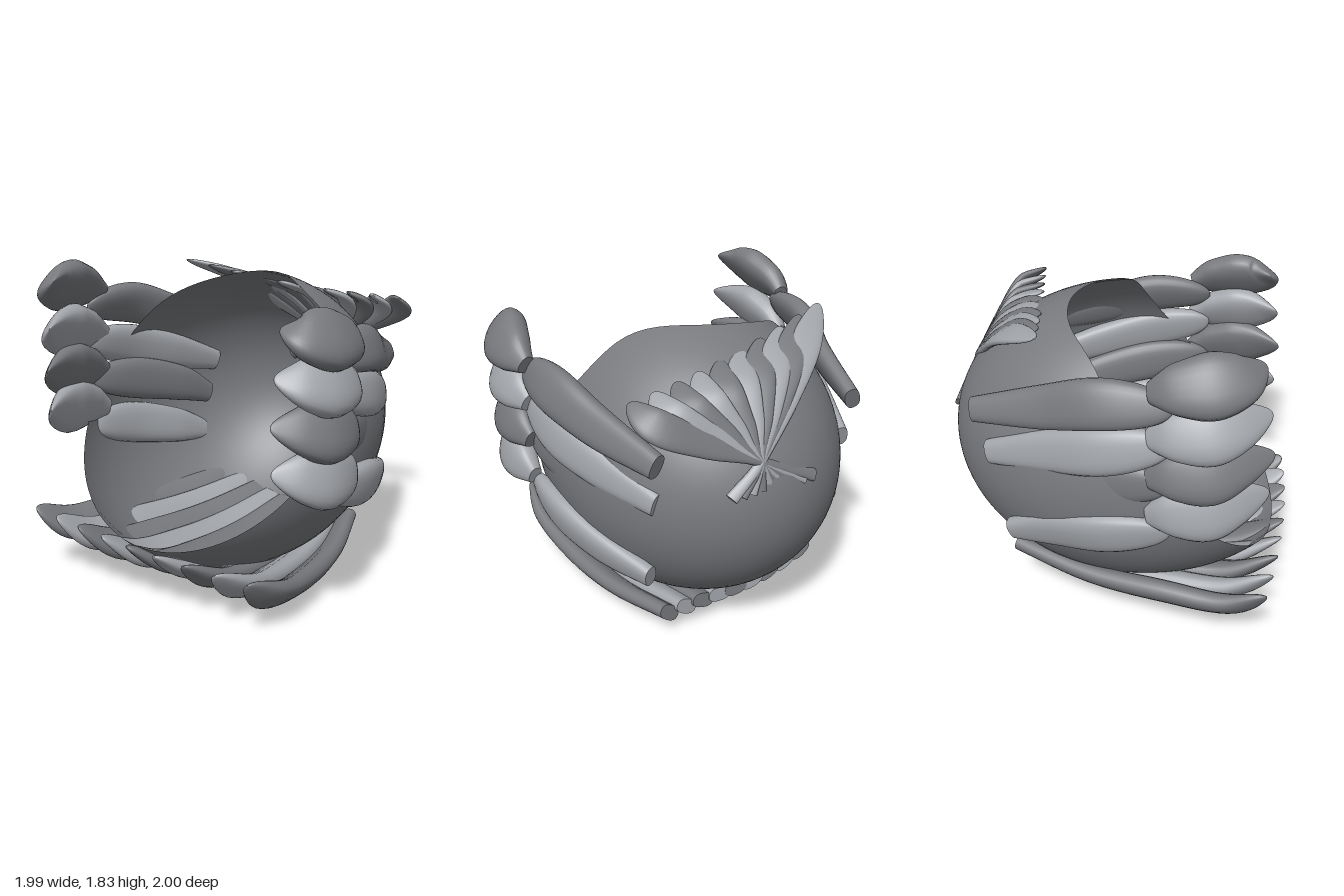
import * as THREE from 'three';

const V = (x, y, z) => new THREE.Vector3(x, y, z);
const dark = new THREE.MeshStandardMaterial({ color: 0x787a7e, side: THREE.DoubleSide });
const light = new THREE.MeshStandardMaterial({ color: 0xa3a6ab, side: THREE.DoubleSide });

// Plume lofted along a path: sizes are [half width, half thickness] pairs,
// normal is the direction its flat face looks, the far end is rounded off.
function plume(name, material, path, sizes, normal, roundness = 8) {
  const curve = new THREE.CatmullRomCurve3(path);
  const size = new THREE.CatmullRomCurve3(sizes.map(([w, h]) => V(w, h, 0)));
  const rings = 30, sides = 24, pos = [], index = [];
  const soft = v => Math.sign(v) * Math.pow(Math.abs(v), 0.8);
  const ring = (t, s) => {
    const p = curve.getPoint(t), T = curve.getTangent(t), d = size.getPoint(t);
    const B = T.clone().cross(normal).normalize(), N = B.clone().cross(T);
    for (let k = 0; k < sides; k++) {
      const a = (k / sides) * Math.PI * 2;
      const q = p.clone().addScaledVector(B, d.x * s * soft(Math.cos(a)))
        .addScaledVector(N, d.y * s * soft(Math.sin(a)));
      pos.push(q.x, q.y, q.z);
    }
  };
  for (let i = 0; i <= rings; i++) {
    const t = Math.sin((i / rings) * Math.PI / 2);
    ring(t, Math.sqrt(Math.max(0, 1 - Math.pow(t, roundness))));
  }
  for (let i = 0; i < rings; i++) {
    for (let k = 0; k < sides; k++) {
      const a = i * sides + k, b = i * sides + (k + 1) % sides;
      index.push(a, a + sides, b, b, a + sides, b + sides);
    }
  }
  // blunt root cap with its own vertices, so that its edge stays sharp
  const c = pos.length / 3;
  ring(0, 1);
  pos.push(path[0].x, path[0].y, path[0].z);
  for (let k = 0; k < sides; k++) index.push(c + sides, c + k, c + (k + 1) % sides);
  const g = new THREE.BufferGeometry();
  g.setAttribute('position', new THREE.Float32BufferAttribute(pos, 3));
  g.setIndex(index);
  g.computeVertexNormals();
  const m = new THREE.Mesh(g, material);
  m.name = name;
  return m;
}

// Egg-shaped shell cut by a slanting, slightly wavy opening
function shell() {
  const around = 96, along = 40, pos = [], nor = [], index = [];
  const centre = V(-0.035, 0.91, 0.08), radius = V(0.855, 0.875, 1.08);
  const at = (th, ph) => V(Math.sin(th) * Math.cos(ph), Math.sin(th) * Math.sin(ph), -Math.cos(th))
    .multiply(radius).add(centre);
  const rimZ = p => {
    const wave = 0.21 * Math.exp(-(((p.x - 0.37) / 0.29) ** 2)) + 0.11 * Math.exp(-(((p.x + 0.62) / 0.22) ** 2));
    return 0.91 - 0.89 * (p.y - 0.37) + wave * THREE.MathUtils.clamp((p.y - 0.9) / 0.5, 0, 1);
  };
  for (let j = 0; j <= around; j++) {
    const ph = (j / around) * Math.PI * 2;
    let lo = 0, hi = Math.PI;
    for (let n = 0; n < 30; n++) {
      const mid = (lo + hi) / 2, p = at(mid, ph);
      if (p.z < rimZ(p)) lo = mid; else hi = mid;
    }
    for (let i = 0; i <= along; i++) {
      const p = at(lo * i / along, ph);
      const n = p.clone().sub(centre).divide(radius).divide(radius).normalize();
      pos.push(p.x, p.y, p.z);
      nor.push(n.x, n.y, n.z);
    }
  }
  for (let j = 0; j < around; j++) {
    for (let i = 0; i < along; i++) {
      const a = j * (along + 1) + i, b = a + along + 1;
      index.push(a, b, a + 1, b, b + 1, a + 1);
    }
  }
  const g = new THREE.BufferGeometry();
  g.setAttribute('position', new THREE.Float32BufferAttribute(pos, 3));
  g.setAttribute('normal', new THREE.Float32BufferAttribute(nor, 3));
  g.setIndex(index);
  const m = new THREE.Mesh(g, dark);
  m.name = 'shell';
  return m;
}

// Four long plumes with curled tips on one side
function sideWing(side) {
  const right = side < 0;
  const wing = new THREE.Group();
  wing.name = right ? 'rightWing' : 'leftWing';
  const out = right ? 0.05 : 0;
  // tip height, heights of the long plume from front to back, back x, back z
  const rows = [
    [1.55, 1.42, 1.41, 1.32, 1.235, 0.57, -0.72], [1.32, 1.24, 1.16, 1.08, 0.99, 0.55, -0.68],
    [1.085, 1.0, 0.95, 0.87, 0.78, 0.53, -0.6], [0.845, 0.7, 0.64, 0.565, 0.505, 0.565, -0.62],
  ];
  rows.forEach(([tip, y0, y1, y2, y3, bx, bz], r) => {
    const X = x => side * (x + out);
    const material = r % 2 ? light : dark;
    const dip = r === 2 ? 0.05 : 0;
    const lift = right ? [0.13, 0.1, 0.1, 0.11][r] : 0;
    const back = right ? 0.03 + r * 0.025 : 0;
    wing.add(plume('longPlume', material, [
      V(X(bx + out + back * 0.4), y3 + lift * 0.6, bz + back), V(X(0.71 - dip), y2 + lift * 0.7, -0.3),
      V(X(0.8 - dip), y1 + lift * 0.8, 0.03), V(X(0.82), y0 + lift * 0.9, 0.4),
    ], [[0.068, 0.045], [0.115, 0.06], [0.135, 0.07], [0.12, 0.06]], V(side, 0.42 - r * 0.2, 0)));
    const y = tip + lift, z = [-0.05, 0, 0.03, 0.02][r] + (right ? 0.05 : 0.01);
    wing.add(plume('curledTip', material, [
      V(side * 0.86, y - 0.07, 0.28), V(side * 0.88, y - 0.03, 0.4), V(side * 0.865, y, 0.58),
      V(side * 0.815, y + 0.03, 0.72), V(side * 0.72, y + 0.06, 0.82 + z),
    ], [[0.055, 0.04], [0.125, 0.075], [0.168, 0.09], [0.145, 0.07], [0.09, 0.03]],
    V(side, 0.68 - r * 0.14, 0.15), 5));
  });
  return wing;
}

// Row of plumes under the shell, sweeping up at the front
function underRow() {
  const row = new THREE.Group();
  row.name = 'underRow';
  for (let i = 0; i < 9; i++) {
    const x = -0.85 + i * 0.188, u = x / 0.8;
    const lift = u < 0 ? 0.11 * u * u : -0.01 * u;
    row.add(plume('underPlume', i % 2 ? light : dark, [
      V(x * 0.6 + 0.02, 0.16 + lift, -0.55), V(x * 0.76 + 0.03, 0.105 + lift, -0.1),
      V(x * 0.87 + 0.03, 0.12 + lift, 0.35), V(x * 0.95 + 0.025, 0.2 + lift * 0.6, 0.72),
      V(x, 0.375 - 0.04 * u, 0.995 - 0.06 * u * u),
    ], [[0.075, 0.045], [0.11, 0.055], [0.125, 0.063], [0.125, 0.06], [0.095, 0.04]],
    V(u * 0.95, -1, 0), 6));
  }
  return row;
}

// Tilted fan at the back: plumes cross at one point and end in short stubs below
function backFan() {
  const fan = new THREE.Group();
  fan.name = 'backFan';
  const pivot = V(0.08, 1.23, -0.92), n = 10;
  for (let i = 0; i < n; i++) {
    const u = i / (n - 1);
    const tip = V(-0.68 + 1.36 * u, 1.76 - 0.18 * u, -0.33 - 0.31 * u);
    tip.y -= 0.03 * Math.sin(u * Math.PI);
    const dir = tip.clone().sub(pivot);
    const bulge = (f, k) => pivot.clone().addScaledVector(dir, f)
      .add(V(0.05 * k + 0.06 * k * u, 0.03 * k, -0.08 * k));
    const stub = V(0.27 - 0.51 * u, 1.08, -0.95);
    fan.add(plume('fanPlume', i % 2 ? dark : light, [stub, pivot, bulge(0.35, 0.6), bulge(0.72, 0.9), tip],
      [[0.035, 0.02], [0.025, 0.02], [0.07, 0.025], [0.095, 0.03], [0.075, 0.025]],
      V(0.3, 0.65, -0.75), 7));
  }
  return fan;
}

export function createModel() {
  const model = new THREE.Group();
  model.name = 'featheredShell';
  model.add(shell(), sideWing(1), sideWing(-1), underRow(), backFan());
  return model;
}
